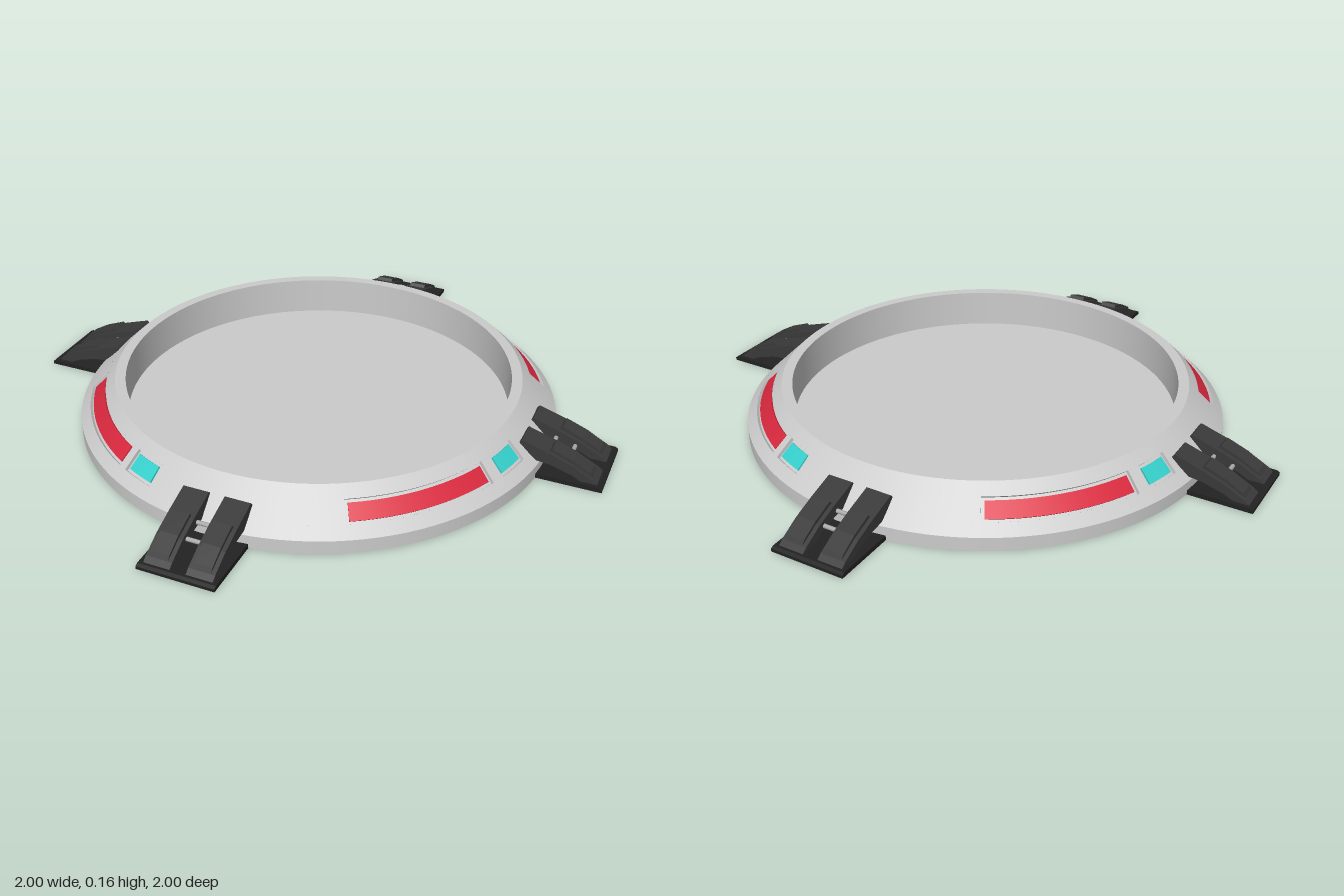
import * as THREE from 'three';
import { mergeGeometries } from 'three/addons/utils/BufferGeometryUtils.js';

const RAD = Math.PI / 180;
const mat = (color) => new THREE.MeshStandardMaterial({ color, side: THREE.DoubleSide });

// Crisp-edged revolve of a profile [[r, y], ...] over an arc in degrees; caps close a 4-point profile
function revolve(profile, start = 0, length = 360, caps = false) {
  const parts = [];
  const segments = Math.max(4, Math.ceil(length / 3));
  for (let i = 0; i < profile.length - 1; i++) {
    const pair = [profile[i], profile[i + 1]].map(([r, y]) => new THREE.Vector2(r, y));
    parts.push(new THREE.LatheGeometry(pair, segments, start * RAD, length * RAD));
  }
  if (caps) {
    for (const a of [start * RAD, (start + length) * RAD]) {
      const cap = new THREE.PlaneGeometry();
      [0, 3, 1, 2].forEach((k, i) => {
        const [r, y] = profile[k];
        cap.attributes.position.setXYZ(i, r * Math.sin(a), y, r * Math.cos(a));
      });
      cap.computeVertexNormals();
      parts.push(cap);
    }
  }
  return mergeGeometries(parts);
}

// Point on the sloped face at height y, sunk by depth along its normal
function slope(y, depth = 0) {
  return [0.8 - (0.12 * (y - 0.045)) / 0.115 - depth * 0.69, y - depth * 0.72];
}

// Extruded side profile (outward, up), centred across its width
function sideExtrude(points, width) {
  const shape = new THREE.Shape(points.map(([x, y]) => new THREE.Vector2(x, y)));
  const geo = new THREE.ExtrudeGeometry(shape, { depth: width, bevelEnabled: false });
  return geo.translate(0, 0, -width / 2);
}

export function createModel() {
  const model = new THREE.Group();
  const grey = mat(0xcccccc), red = mat(0xd8283e), teal = mat(0x35cfcb);
  const black = mat(0x222222), dark = mat(0x3a3a3a), steel = mat(0xaaaaaa);
  const add = (parent, name, geo, material) => {
    const mesh = new THREE.Mesh(geo, material);
    mesh.name = name;
    parent.add(mesh);
    return mesh;
  };

  // Dish: underside, outer wall, lower slope; then upper slope, rim, inner wall and floor
  const y0 = 0.076, y1 = 0.128;
  add(model, 'lowerBody', revolve([[0, 0], [0.8, 0], [0.8, 0.045], slope(y0)]), grey);
  add(model, 'upperBody', revolve([slope(y1), [0.68, 0.16], [0.645, 0.16], [0.645, 0.03], [0, 0.03]]), grey);

  // Light panels: [centre angle, half width, material], in order around the ring
  const lights = [
    [-132, 18.7, red], [-105.4, 4.6, teal], [-48, 18.7, red], [-22.4, 4.6, teal],
    [48, 18.7, red], [74.6, 4.6, teal], [132, 18.7, red], [157.6, 4.6, teal],
  ];
  lights.forEach(([centre, half, material], i) => {
    const start = centre - half, end = centre + half;
    // Recessed pocket
    add(model, 'lightPocket',
      revolve([slope(y0), slope(y0, 0.011), slope(y1, 0.011), slope(y1)], start, 2 * half, true), grey);
    // Coloured lens inside the pocket
    const m = 0.007, inset = 0.8;
    add(model, material === red ? 'longLight' : 'shortLight',
      revolve([slope(y0 + m, 0.011), slope(y0 + m, 0.005), slope(y1 - m, 0.005), slope(y1 - m, 0.011)],
        start + inset, 2 * (half - inset), true), material);
    // Plain slope up to the next pocket
    const next = lights[(i + 1) % lights.length];
    const gap = (next[0] - next[1] - end + 720) % 360;
    add(model, 'slopeSection', revolve([slope(y0), slope(y1)], end, gap), grey);
  });

  // Clamps: base plate, two hooked arms with raised covers, and two cross pins
  const armProfile = [
    [0.985, 0.012], [0.965, 0.028], [0.9, 0.062], [0.83, 0.088], [0.735, 0.118],
    [0.725, 0.105], [0.785, 0.055], [0.83, 0.05], [0.9, 0.03], [0.935, 0.012],
  ];
  const coverProfile = [
    [0.968, 0.022], [0.955, 0.042], [0.9, 0.073], [0.83, 0.1], [0.815, 0.085], [0.9, 0.05],
  ];
  const plateProfile = [[0.77, 0], [1, 0], [1, 0.01], [0.99, 0.015], [0.77, 0.015]];
  for (let i = 0; i < 4; i++) {
    const clamp = new THREE.Group();
    clamp.name = 'clamp';
    add(clamp, 'basePlate', sideExtrude(plateProfile, 0.25), black);
    for (const side of [-1, 1]) {
      add(clamp, 'arm', sideExtrude(armProfile, 0.085), dark).position.z = side * 0.068;
      add(clamp, 'armCover', sideExtrude(coverProfile, 0.058), dark).position.z = side * 0.068;
    }
    for (const [x, y] of [[0.815, 0.065], [0.878, 0.05]]) {
      const pin = new THREE.CylinderGeometry(0.007, 0.007, 0.1, 10).rotateX(Math.PI / 2);
      add(clamp, 'crossPin', pin, steel).position.set(x, y, 0);
    }
    clamp.rotation.y = (i * Math.PI) / 2;
    clamp.position.set(i % 2 ? -0.004 : 0, 0, i % 2 ? 0 : -0.004);
    model.add(clamp);
  }
  return model;
}
